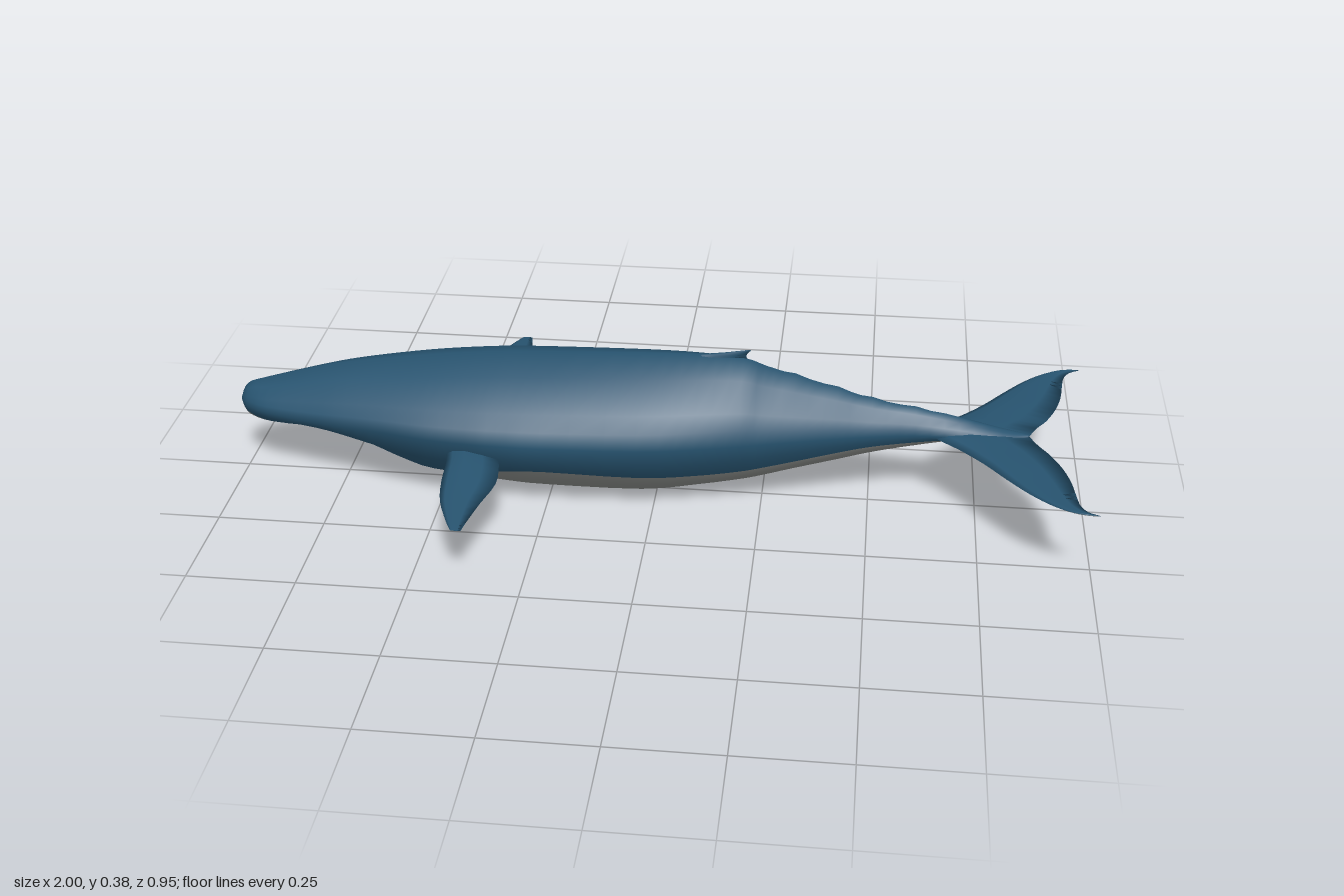
import * as THREE from 'three';

const skin = new THREE.MeshStandardMaterial({ color: 0x27536f });
skin.name = 'blue skin';
const belly = new THREE.MeshStandardMaterial({ color: 0x888b88 });
belly.name = 'grey belly';

// Body stations: x, top, bottom, widest height, half width, colour line height
const STATIONS = [
  [-1, 0.19, 0.175, 0.185, 0.005, 0.18],
  [-0.99, 0.215, 0.15, 0.185, 0.022, 0.165],
  [-0.97, 0.233, 0.137, 0.185, 0.042, 0.155],
  [-0.92, 0.247, 0.13, 0.187, 0.072, 0.143],
  [-0.8, 0.281, 0.13, 0.19, 0.112, 0.137],
  [-0.72, 0.299, 0.105, 0.195, 0.135, 0.115],
  [-0.62, 0.315, 0.06, 0.2, 0.16, 0.08],
  [-0.52, 0.329, 0.03, 0.2, 0.181, 0.067],
  [-0.42, 0.34, 0.014, 0.2, 0.192, 0.078],
  [-0.35, 0.346, 0.008, 0.2, 0.195, 0.105],
  [-0.25, 0.351, 0.004, 0.2, 0.195, 0.118],
  [-0.03, 0.36, 0.002, 0.2, 0.183, 0.105],
  [0.1, 0.364, 0.021, 0.2, 0.16, 0.104],
  [0.2, 0.36, 0.04, 0.2, 0.135, 0.11],
  [0.25, 0.343, 0.053, 0.2, 0.12, 0.117],
  [0.32, 0.323, 0.075, 0.2, 0.1, 0.13],
  [0.42, 0.295, 0.105, 0.2, 0.073, 0.152],
  [0.5, 0.272, 0.13, 0.2, 0.054, 0.167],
  [0.6, 0.254, 0.155, 0.2, 0.037, 0.177],
  [0.7, 0.234, 0.178, 0.2, 0.035, 0.19],
  [0.8, 0.209, 0.184, 0.197, 0.025, 0.194],
  [0.86, 0.199, 0.19, 0.195, 0.006, 0.194],
];

// Fin sections: span, leading x, trailing x, centre offset, half thickness
const FLIPPER = [
  [0.15, -0.475, -0.36, 0.158, 0.022],
  [0.2, -0.464, -0.342, 0.157, 0.018],
  [0.28, -0.459, -0.335, 0.153, 0.012],
  [0.36, -0.446, -0.355, 0.149, 0.008],
  [0.44, -0.416, -0.372, 0.146, 0.004],
  [0.473, -0.4, -0.377, 0.145, 0.001],
];
const FLUKE = [
  [0, 0.62, 0.862, 0.194, 0.015],
  [0.04, 0.655, 0.88, 0.194, 0.013],
  [0.08, 0.702, 0.905, 0.193, 0.011],
  [0.14, 0.757, 0.93, 0.193, 0.009],
  [0.2, 0.802, 0.945, 0.193, 0.007],
  [0.26, 0.85, 0.952, 0.194, 0.005],
  [0.3, 0.89, 0.958, 0.195, 0.004],
  [0.325, 0.925, 0.972, 0.196, 0.003],
  [0.338, 0.955, 0.992, 0.197, 0.002],
  [0.342, 0.985, 1.0, 0.197, 0.001],
];
const DORSAL = [
  [0.335, 0.02, 0.23, 0, 0.016],
  [0.358, 0.07, 0.208, 0, 0.009],
  [0.37, 0.15, 0.207, 0, 0.005],
  [0.38, 0.205, 0.217, 0, 0.001],
];

// Half width factor for a height fraction u away from the widest line
const SHAPE = [[0, 1], [0.22, 0.93], [0.44, 0.79], [0.81, 0.43], [1, 0]];
function widthAt(u) {
  for (let k = 1; k < SHAPE.length; k++) {
    const [u0, w0] = SHAPE[k - 1], [u1, w1] = SHAPE[k];
    if (u <= u1) return w0 + (w1 - w0) * (u - u0) / (u1 - u0);
  }
  return 0;
}

// Smoothly resample rows of numbers
function smoothRows(rows, steps) {
  const at = (i) => rows[Math.max(0, Math.min(rows.length - 1, i))];
  const out = [];
  for (let i = 0; i < rows.length - 1; i++) {
    for (let s = 0; s < steps; s++) {
      const t = s / steps;
      out.push(rows[i].map((b, k) => {
        const a = at(i - 1)[k], c = at(i + 1)[k], d = at(i + 2)[k];
        return b + 0.5 * t * (c - a + t * (2 * a - 5 * b + 4 * c - d + t * (3 * (b - c) + d - a)));
      }));
    }
  }
  out.push(rows[rows.length - 1]);
  return out;
}

// Skin closed rings of points; isBelly(j) picks the colour of each strip
function skinRings(name, rings, isBelly, flip) {
  const n = rings[0].length, parts = [[], []];
  for (let i = 0; i < rings.length - 1; i++) {
    for (let j = 0; j < n; j++) {
      const a = i * n + j, b = i * n + (j + 1) % n, c = a + n, d = b + n;
      parts[isBelly(j) ? 1 : 0].push(...(flip ? [a, c, b, b, c, d] : [a, b, c, b, d, c]));
    }
  }
  // Close both ends
  const last = (rings.length - 1) * n;
  for (let j = 1; j < n - 1; j++) {
    const start = [0, j + 1, j], end = [last, last + j, last + j + 1];
    for (const f of [start, end]) {
      parts[isBelly(j) ? 1 : 0].push(...(flip ? [f[0], f[2], f[1]] : f));
    }
  }
  const geo = new THREE.BufferGeometry();
  geo.setAttribute('position', new THREE.Float32BufferAttribute(rings.flat(2), 3));
  geo.setIndex([...parts[0], ...parts[1]]);
  geo.addGroup(0, parts[0].length, 0);
  geo.addGroup(parts[0].length, parts[1].length, 1);
  geo.computeVertexNormals();
  const mesh = new THREE.Mesh(geo, [skin, belly]);
  mesh.name = name;
  return mesh;
}

function makeBody() {
  const rings = smoothRows(STATIONS, 3).map(([x, top, bottom, mid, w, line]) => {
    // Small knuckles along the tail ridge
    const bump = x > 0.3 && x < 0.75 ? 0.004 * Math.max(0, Math.sin((x - 0.3) * 70)) : 0;
    const s = THREE.MathUtils.clamp((mid - line) / (mid - bottom), 0.1, 0.95);
    const half = [1, 0.81, 0.44, 0.22, 0].map((u) => [mid + u * (top - mid + (u === 1 ? bump : 0)), w * widthAt(u)]);
    for (const u of [s / 2, s, s + (1 - s) * 0.35, s + (1 - s) * 0.7, 1]) {
      half.push([mid - u * (mid - bottom), w * widthAt(u)]);
    }
    const ring = half.map(([y, z]) => [x, y, z]);
    for (let k = half.length - 2; k > 0; k--) ring.push([x, half[k][0], -half[k][1]]);
    return ring;
  });
  return skinRings('body', rings, (j) => j >= 6 && j < 12, false);
}

// Lens-shaped fin; place(x, span, thickness) puts each point in space
function makeFin(name, sections, place, flip, greyBelow) {
  const chord = [0, 0.12, 0.35, 0.7, 1], thick = [0, 0.7, 1, 0.55, 0];
  const rings = smoothRows(sections, 3).map(([span, lead, trail, off, h]) => {
    const point = (k, sign) => place(lead + (trail - lead) * chord[k], span, off + sign * h * thick[k]);
    return [0, 1, 2, 3, 4].map((k) => point(k, 1)).concat([3, 2, 1].map((k) => point(k, -1)));
  });
  return skinRings(name, rings, (j) => greyBelow && j >= 4, flip);
}

export function createModel() {
  const model = new THREE.Group();
  model.name = 'whale';
  model.add(makeBody());
  model.add(makeFin('dorsalFin', DORSAL, (x, s, t) => [x, s, t], false, false));
  for (const side of [1, -1]) {
    const place = (x, s, t) => [x, t, s * side];
    const label = side > 0 ? 'front' : 'back';
    model.add(makeFin(label + 'Flipper', FLIPPER, place, side > 0, true));
    model.add(makeFin(label + 'TailFluke', FLUKE, place, side > 0, true));
  }
  return model;
}
